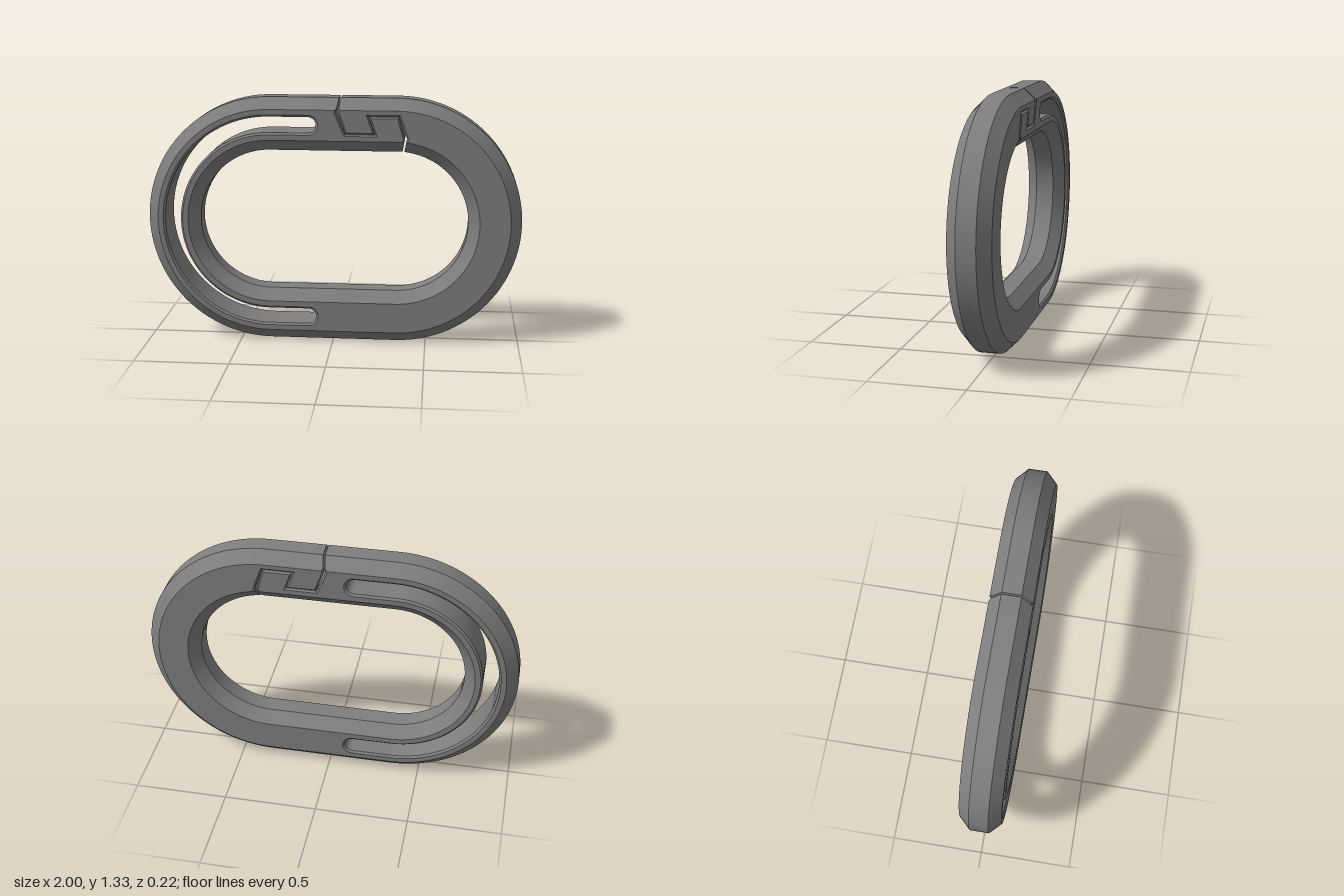
import * as THREE from 'three';
import { toCreasedNormals } from 'three/addons/utils/BufferGeometryUtils.js';

const CX = 0.3375, CY = 0.6625;          // centres of the two end arcs
const R_OUT = 0.6625, R_IN = 0.38;       // outer and inner radius of the link
const R_SLOT = 0.522, SLOT_W = 0.042, SLOT_END = -0.13;
const DEG = Math.PI / 180;

// centre line of the interlocking joint, from the outer to the inner edge
const JOINT = [[0.035, 1.325], [0.022, 1.25], [0.067, 1.138], [0.222, 1.138],
  [0.188, 1.233], [0.346, 1.233], [0.383, 1.12], [0.37, 1.043]].map(p => new THREE.Vector2(...p));
// half gap at each joint point: open at the ends, tight between the hooks
const GAP = [0.005, 0.005, 0.0015, 0.001, 0.001, 0.0015, 0.005, 0.005];

// levels through the thickness: z, chamfer inset, edge chamfer of joint, of slot
const half = [[0.11, 0.06, 0.008, 0.011], [0.1, 0.05, 0, 0], [0.05, 0, 0, 0]];
const LEVELS = [...half, ...half.slice().reverse().map(([z, ...r]) => [-z, ...r])];

function arc(cx, cy, r, from, to, n) {
  return Array.from({ length: n + 1 }, (_, i) => {
    const a = (from + (to - from) * i / n) * DEG;
    return new THREE.Vector2(cx + r * Math.cos(a), cy + r * Math.sin(a));
  });
}

// mitred offset of the joint line, trimmed to the chamfered edges
function jointSide(sign, edge, inset) {
  const dirs = JOINT.slice(1).map((p, i) => p.clone().sub(JOINT[i]).normalize());
  const pts = JOINT.map((p, i) => {
    const d0 = dirs[Math.max(i - 1, 0)], d1 = dirs[Math.min(i, dirs.length - 1)];
    const n = new THREE.Vector2(-d0.y - d1.y, d0.x + d1.x);
    return p.clone().addScaledVector(n, sign * (GAP[i] + edge) / (1 + d0.dot(d1)));
  });
  const trim = (p, q, y) => p.lerp(q, (y - p.y) / (q.y - p.y));
  trim(pts[0], pts[1], CY + R_OUT - inset);
  trim(pts[7], pts[6], CY + R_IN + inset);
  return pts;
}

// C-shaped outline, counter-clockwise
function bodyOutline(inset, edge) {
  const ro = R_OUT - inset, ri = R_IN + inset;
  return [
    ...arc(CX, CY, ro, 90, -90, 56),
    ...arc(-CX, CY, ro, -90, -270, 56),
    ...jointSide(-1, edge, inset),
    ...arc(-CX, CY, ri, 90, 270, 48),
    ...arc(CX, CY, ri, -90, 80, 48),
    ...jointSide(1, edge, inset).reverse(),
  ].reverse();
}

// curved slot with round ends, clockwise
function slotOutline(widen) {
  const w = SLOT_W + widen;
  return [
    ...arc(-CX, CY, R_SLOT + w, 270, 90, 56),
    ...arc(SLOT_END, CY + R_SLOT, w, 90, -90, 14),
    ...arc(-CX, CY, R_SLOT - w, 90, 270, 56),
    ...arc(SLOT_END, CY - R_SLOT, w, 90, -90, 14),
  ];
}

function linkGeometry() {
  const pos = [];
  const tri = (...v) => v.forEach(([p, z]) => pos.push(p.x, p.y, z));
  const rings = LEVELS.map(([z, inset, edge, widen]) =>
    ({ z, loops: [bodyOutline(inset, edge), slotOutline(widen)] }));

  // walls between neighbouring levels
  for (let k = 0; k < rings.length - 1; k++) {
    const hi = rings[k], lo = rings[k + 1];
    hi.loops.forEach((loop, l) => loop.forEach((_, i) => {
      const j = (i + 1) % loop.length;
      const a = [lo.loops[l][i], lo.z], b = [lo.loops[l][j], lo.z];
      const c = [hi.loops[l][j], hi.z], d = [hi.loops[l][i], hi.z];
      tri(a, b, c);
      tri(a, c, d);
    }));
  }

  // flat front and back faces
  const [outer, slot] = rings[0].loops, z = rings[0].z;
  const all = [...outer, ...slot];
  for (const [a, b, c] of THREE.ShapeUtils.triangulateShape(outer, [slot])) {
    tri([all[a], z], [all[b], z], [all[c], z]);
    tri([all[a], -z], [all[c], -z], [all[b], -z]);
  }

  const geo = new THREE.BufferGeometry();
  geo.setAttribute('position', new THREE.Float32BufferAttribute(pos, 3));
  return toCreasedNormals(geo, 0.4);
}

export function createModel() {
  const group = new THREE.Group();
  group.name = 'snapLink';
  const body = new THREE.Mesh(linkGeometry(), new THREE.MeshStandardMaterial({ color: 0x7e7e7e }));
  body.name = 'linkBody';
  group.add(body);
  return group;
}
